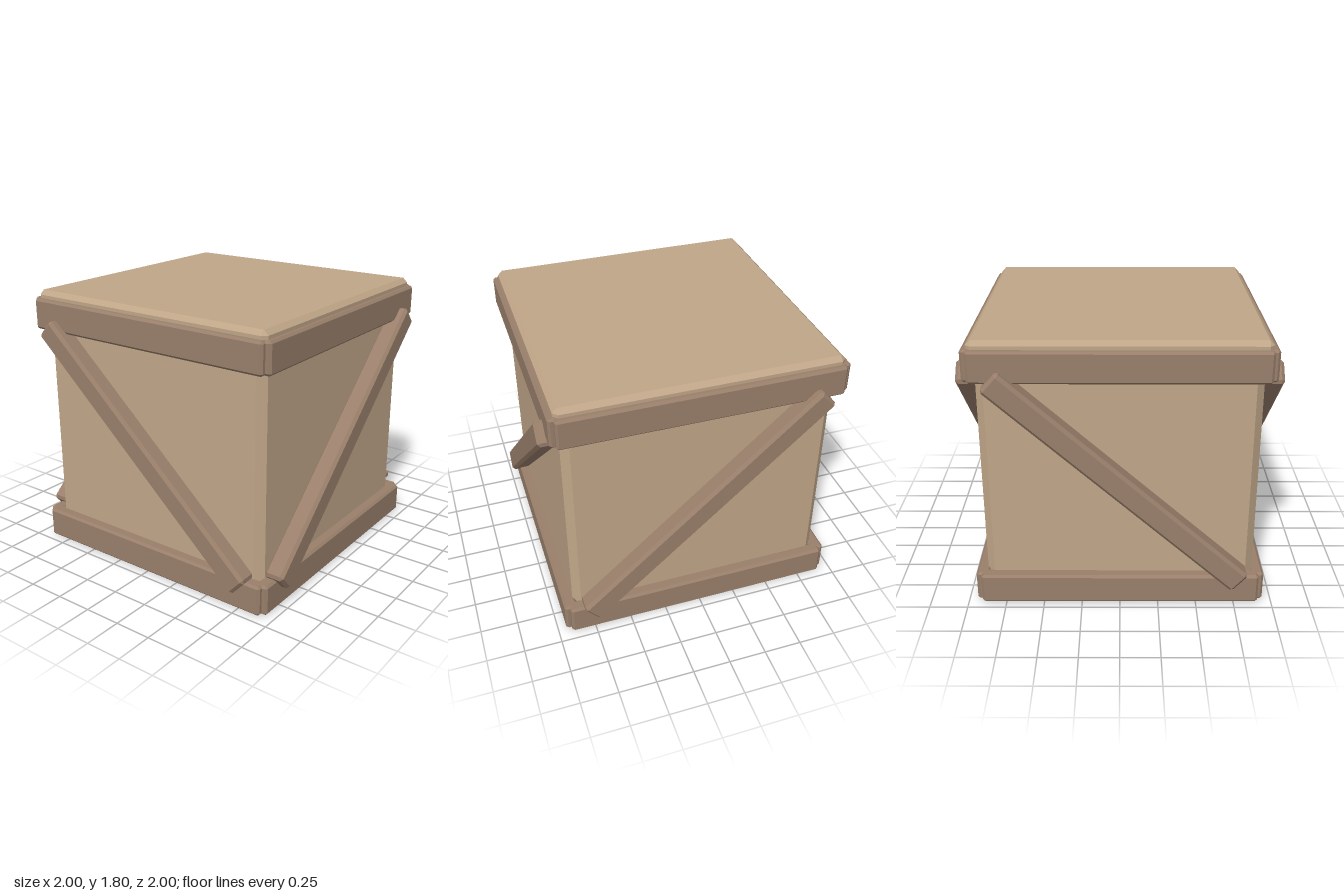
import * as THREE from 'three';
import { ConvexGeometry } from 'three/addons/geometries/ConvexGeometry.js';

// Box of full size w, h, d with every edge chamfered by c
function chamferBox(w, h, d, c) {
  const half = [w / 2, h / 2, d / 2];
  const points = [];
  for (const sx of [-1, 1]) for (const sy of [-1, 1]) for (const sz of [-1, 1]) {
    for (let full = 0; full < 3; full++) {
      const p = half.map((v, i) => (i === full ? v : v - c));
      points.push(new THREE.Vector3(p[0] * sx, p[1] * sy, p[2] * sz));
    }
  }
  return new ConvexGeometry(points);
}

export function createModel() {
  const panelWood = new THREE.MeshStandardMaterial({ color: 0xc0a688 });
  panelWood.name = 'panelWood';
  const trimWood = new THREE.MeshStandardMaterial({ color: 0x997f6b });
  trimWood.name = 'trimWood';

  const crate = new THREE.Group();
  crate.name = 'crate';

  function add(parent, name, geometry, material, x, y, z) {
    const mesh = new THREE.Mesh(geometry, material);
    mesh.name = name;
    mesh.position.set(x, y, z);
    parent.add(mesh);
    return mesh;
  }

  // Panelled body, lid and floor
  add(crate, 'body', chamferBox(1.75, 1.7, 1.75, 0.05), panelWood, 0, 0.88, 0);
  add(crate, 'lid', chamferBox(1.82, 0.1, 1.82, 0.03), panelWood, 0, 1.76, 0);
  add(crate, 'floor', new THREE.BoxGeometry(1.74, 0.1, 1.74), panelWood, 0, 0.058, 0);

  // Each side has two rails and a diagonal brace; opposite braces lean the same way
  const railGeometry = chamferBox(1.82, 0.205, 0.09, 0.015);
  const braceGeometry = chamferBox(2.1, 0.16, 0.135, 0.02);
  const braceAngle = 0.732;
  const sides = [
    ['front', 0, 1],
    ['right', Math.PI / 2, 1],
    ['back', Math.PI, -1],
    ['left', -Math.PI / 2, -1],
  ];
  for (const [name, turn, lean] of sides) {
    const side = new THREE.Group();
    side.name = name + 'Side';
    side.rotation.y = turn;
    add(side, 'bottomRail', railGeometry, trimWood, 0, 0.1075, 0.9);
    add(side, 'topRail', railGeometry, trimWood, 0, 1.655, 0.9);
    const brace = add(side, 'diagonalBrace', braceGeometry, trimWood, 0, 0.882, 0.9325);
    brace.rotation.z = braceAngle * lean;
    crate.add(side);
  }
  return crate;
}
